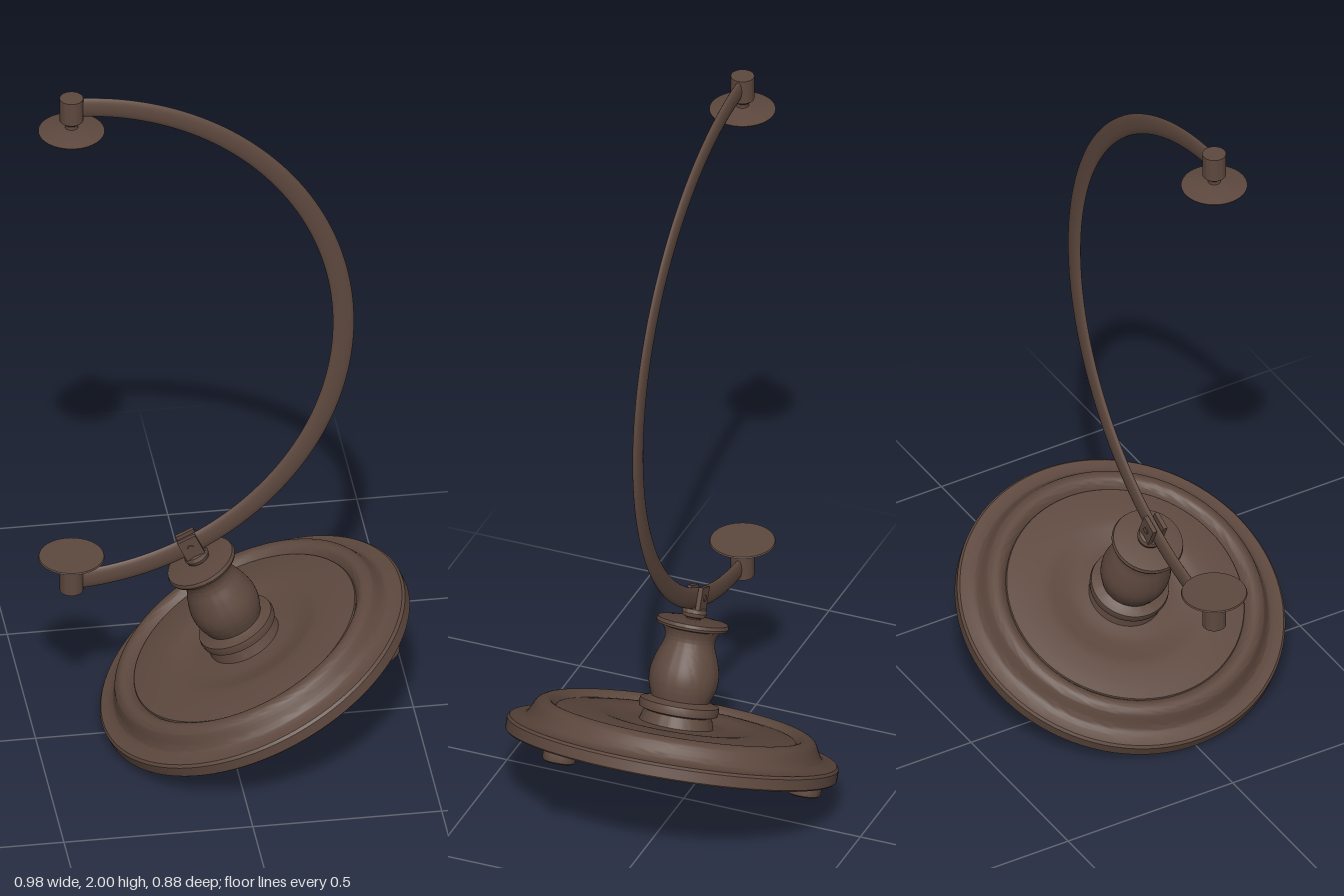
import * as THREE from 'three';
import { toCreasedNormals } from 'three/addons/utils/BufferGeometryUtils.js';

const bronze = new THREE.MeshStandardMaterial({ color: 0x5d483e });
bronze.name = 'dark bronze';

const TILT = THREE.MathUtils.degToRad(25);
const ARC_RADIUS = 0.74;
const ARC_X = -0.425;
const ARC_Y = 1.23;

function addMesh(parent, name, geometry) {
  const mesh = new THREE.Mesh(geometry, bronze);
  mesh.name = name;
  parent.add(mesh);
  return mesh;
}

// Turned part from [radius, height] pairs, listed bottom to top
function turned(points, segments = 64) {
  const profile = points.map(([r, y]) => new THREE.Vector2(r, y));
  return toCreasedNormals(new THREE.LatheGeometry(profile, segments), 0.65);
}

// Smooth run of profile points through a few guides
function smooth(points, count) {
  const curve = new THREE.SplineCurve(points.map(([r, y]) => new THREE.Vector2(r, y)));
  return curve.getPoints(count).map((p) => [p.x, p.y]);
}

// Pivot cap with its thin domed washer, pointing down
function makePivot(name) {
  const pivot = new THREE.Group();
  pivot.name = name;
  addMesh(pivot, 'pivotPin', turned([
    [0, -0.09], [0.017, -0.09], [0.017, -0.08], [0.031, -0.068], [0.031, 0], [0, 0],
  ], 32));
  addMesh(pivot, 'pivotWasher', turned([
    [0, -0.106], [0.085, -0.106], [0.087, -0.102], [0.06, -0.097], [0.03, -0.092], [0, -0.09],
  ], 48));
  return pivot;
}

export function createModel() {
  const model = new THREE.Group();
  model.name = 'globeStand';

  // Half-circle arm, deep in the plane of the arc and thin across it
  const arm = new THREE.TorusGeometry(ARC_RADIUS, 0.028, 20, 96, Math.PI);
  arm.rotateZ(-Math.PI / 2);
  arm.scale(1, 1, 0.36);
  addMesh(model, 'meridianArm', arm).position.set(ARC_X, ARC_Y, 0);

  // Pivots at both ends of the arm
  const top = makePivot('topPivot');
  top.position.set(-0.405, 2, 0);
  const bottom = makePivot('bottomPivot');
  bottom.position.set(-0.405, 0.46, 0);
  bottom.rotation.x = Math.PI;
  model.add(top, bottom);

  // Everything below the arm leans with the axis
  const stand = new THREE.Group();
  stand.name = 'tiltedStand';
  stand.position.set(0.088, 0.187, 0);
  stand.rotation.z = TILT;
  model.add(stand);

  // Stepped round base with a raised ring and a dished centre
  addMesh(stand, 'base', turned([
    [0, 0], [0.436, 0], [0.44, 0.004], [0.44, 0.033], [0.434, 0.04],
    ...smooth([[0.412, 0.042], [0.393, 0.05], [0.381, 0.07], [0.37, 0.09],
      [0.352, 0.1], [0.335, 0.097], [0.323, 0.084]], 24),
    [0.32, 0.08],
    ...smooth([[0.318, 0.084], [0.27, 0.091], [0.215, 0.094], [0.18, 0.088],
      [0.14, 0.082], [0.09, 0.086]], 20),
    [0, 0.086],
  ], 96));

  // Baluster stem
  addMesh(stand, 'stem', turned([
    [0, 0.08], [0.1, 0.08], [0.094, 0.1], [0.09, 0.115], [0.104, 0.12],
    [0.106, 0.132], [0.104, 0.143], [0.09, 0.147], [0.078, 0.153],
    ...smooth([[0.08, 0.158], [0.09, 0.19], [0.091, 0.225], [0.081, 0.265],
      [0.068, 0.3], [0.068, 0.322], [0.078, 0.342]], 24),
    [0.093, 0.346], [0.096, 0.353], [0.093, 0.362], [0.06, 0.367], [0, 0.367],
  ]));

  // Small knob between stem and arm
  addMesh(stand, 'knob', turned([
    [0.02, 0.36], [0.02, 0.37], [0.031, 0.374], [0.034, 0.384], [0.03, 0.394],
    [0.018, 0.398], [0.018, 0.41], [0, 0.41],
  ], 32));

  // Fork cheeks that grip the arm, with a cross pin
  for (const side of [-1, 1]) {
    const cheek = addMesh(stand, 'forkCheek', new THREE.BoxGeometry(0.052, 0.062, 0.012));
    cheek.position.set(0, 0.424, side * 0.016);
  }
  const pin = addMesh(stand, 'forkPin', new THREE.CylinderGeometry(0.009, 0.009, 0.05, 16));
  pin.rotation.x = Math.PI / 2;
  pin.position.y = 0.426;

  // Three round feet
  const foot = turned([[0, -0.03], [0.034, -0.03], [0.042, -0.026], [0.045, -0.018], [0.045, 0.005]], 32);
  for (let i = 0; i < 3; i++) {
    const a = -Math.PI / 2 + (i * Math.PI * 2) / 3;
    addMesh(stand, 'foot', foot).position.set(Math.cos(a) * 0.38, 0, Math.sin(a) * 0.38);
  }

  return model;
}
